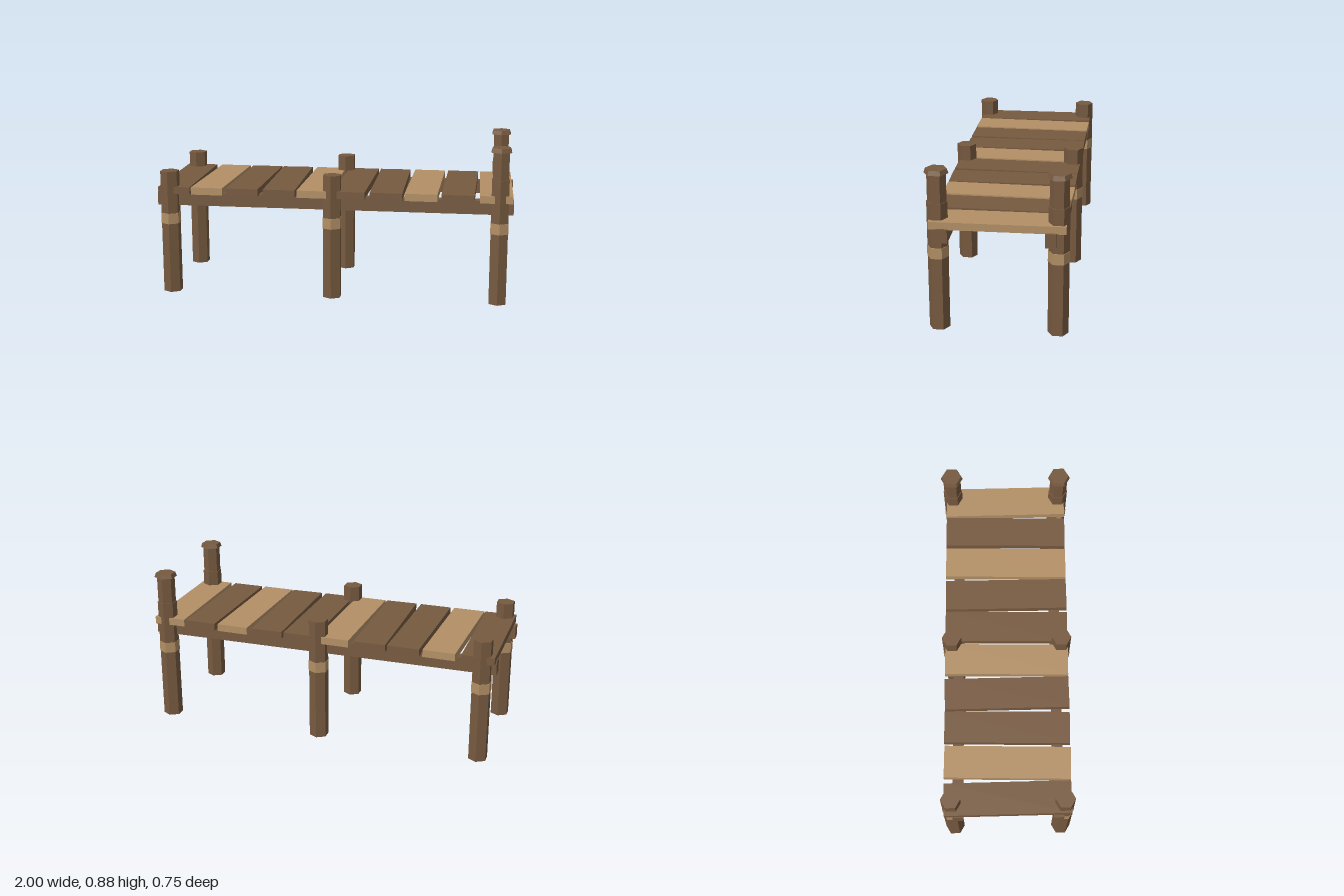
import * as THREE from 'three';

export function createModel() {
  const dock = new THREE.Group();
  dock.name = 'dock';

  const material = (name, color) => {
    const m = new THREE.MeshStandardMaterial({ color, flatShading: true });
    m.name = name;
    return m;
  };
  const darkWood = material('dark wood', 0x775a40);
  const lightWood = material('light wood', 0xb39066);

  const add = (parent, name, geometry, mat, x, y, z) => {
    const mesh = new THREE.Mesh(geometry, mat);
    mesh.name = name;
    mesh.position.set(x, y, z);
    parent.add(mesh);
    return mesh;
  };
  // Six-sided upright piece spanning y0 to y1
  const hex = (parent, name, mat, rTop, rBottom, y0, y1) =>
    add(parent, name, new THREE.CylinderGeometry(rTop, rBottom, y1 - y0, 6), mat, 0, (y0 + y1) / 2, 0);

  // Posts with rope bands; the pair at the far end is taller and capped
  for (const x of [-0.925, 0, 0.925]) {
    for (const z of [-0.309, 0.311]) {
      const post = new THREE.Group();
      post.name = 'post';
      post.position.set(x, 0, z);
      hex(post, 'pile', darkWood, 0.0545, 0.0545, 0, 0.7);
      hex(post, 'ropeBand', lightWood, 0.057, 0.057, 0.4, 0.46);
      if (x > 0.5) {
        hex(post, 'upperPost', darkWood, 0.05, 0.05, 0.7, 0.852);
        hex(post, 'postCap', darkWood, 0.055, 0.0635, 0.851, 0.875);
      }
      dock.add(post);
    }
  }

  // Long beams under the deck
  for (const z of [-0.273, 0.278]) {
    add(dock, 'beam', new THREE.BoxGeometry(2, 0.076, 0.057), darkWood, 0, 0.538, z);
  }

  // Deck planks, each turned slightly: [turn, is light]
  const planks = [
    [0.018, 0], [-0.018, 1], [-0.012, 0], [0.016, 0], [-0.012, 1],
    [-0.012, 0], [0.01, 0], [-0.014, 1], [-0.01, 0], [0.016, 1],
  ];
  planks.forEach(([turn, light], i) => {
    const plank = add(dock, 'plank', new THREE.BoxGeometry(0.18, 0.041, 0.697),
      light ? lightWood : darkWood, -0.9 + i * 0.2, 0.592, 0);
    plank.rotation.y = turn;
  });

  return dock;
}
